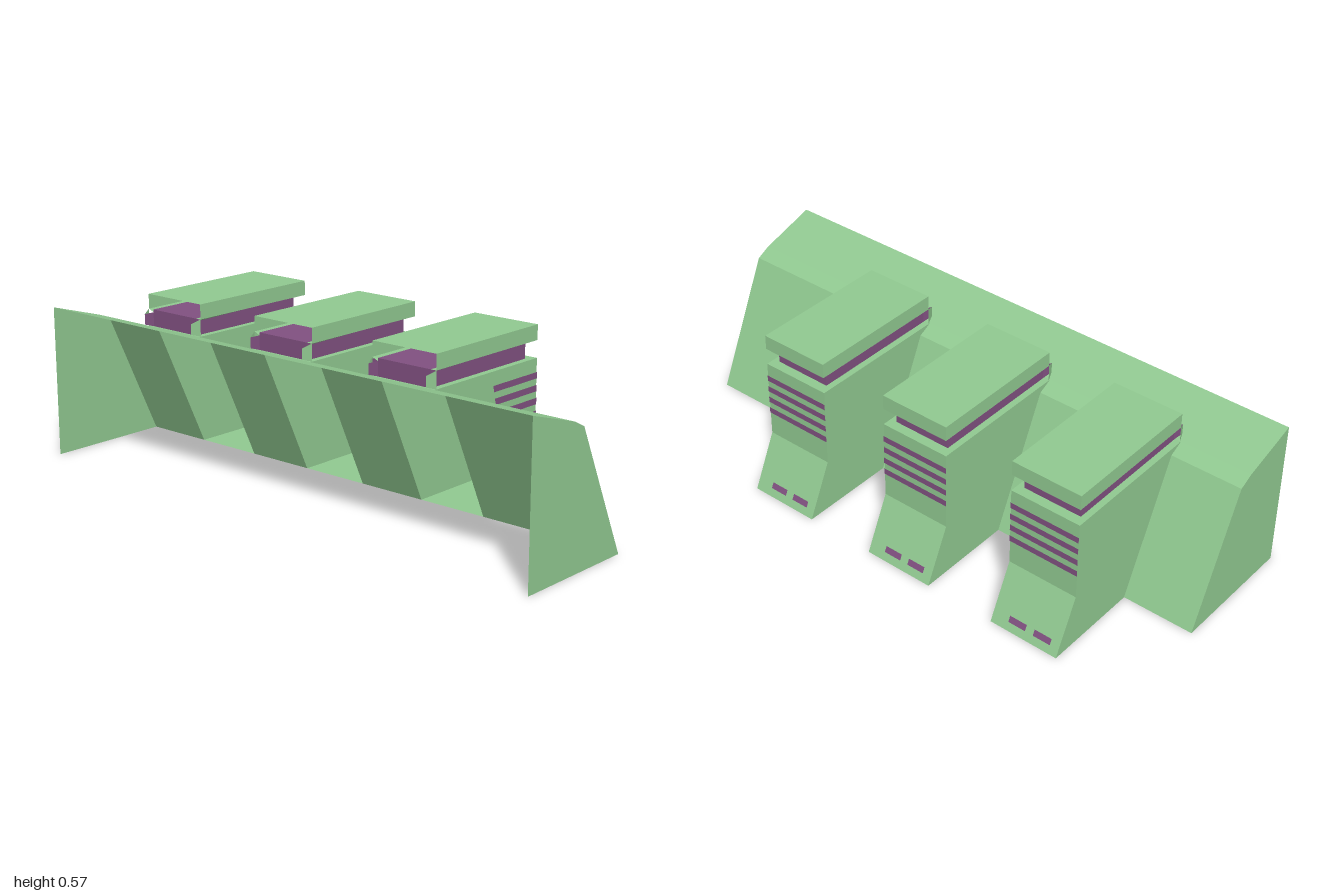
import * as THREE from 'three';

const green = new THREE.MeshStandardMaterial({ color: 0x90c890, flatShading: true, side: THREE.DoubleSide });
const purple = new THREE.MeshStandardMaterial({ color: 0x805080, flatShading: true, side: THREE.DoubleSide });

function add(group, name, geometry, material) {
  const mesh = new THREE.Mesh(geometry, material);
  mesh.name = name;
  group.add(mesh);
  return mesh;
}

// Convex polygons given as corner lists, fanned into triangles
function polygons(...faces) {
  const pos = [];
  for (const f of faces)
    for (let i = 1; i < f.length - 1; i++) pos.push(...f[0], ...f[i], ...f[i + 1]);
  const g = new THREE.BufferGeometry();
  g.setAttribute('position', new THREE.Float32BufferAttribute(pos, 3));
  g.computeVertexNormals();
  return g;
}

// Open wall sweeping an x-y path from z0 to z1 (outside is left of the path)
function strip(path, z0, z1) {
  const faces = [];
  for (let i = 0; i < path.length - 1; i++) {
    const [a, b] = [path[i], path[i + 1]];
    faces.push([[...a, z0], [...a, z1], [...b, z1], [...b, z0]]);
  }
  return polygons(...faces);
}

// Flat x-y panel at depth z, facing +z or -z
function panel(outline, z, facing = 1) {
  const g = new THREE.ShapeGeometry(new THREE.Shape(outline.map(p => new THREE.Vector2(...p))));
  if (facing < 0) g.setIndex([...g.index.array].reverse());
  g.computeVertexNormals();
  return g.translate(0, 0, z);
}

const RIDGE = [-0.4, 0.522], KNEE = [-0.2, 0.462], EDGE = [-0.152, 0.438], TOE = [0.05, 0];
const FRONT = 0.313, DEPTH = 0.25;
const TOWERS = [-0.75, -0.25, 0.25];

function createBank() {
  const bank = new THREE.Group();
  bank.name = 'bank';
  add(bank, 'bankTop', strip([RIDGE, KNEE, EDGE], -1, 1), green);
  // Sloped face, left open where the towers join
  let z = -1;
  for (const t of [...TOWERS, 1]) {
    add(bank, 'bankSlope', strip([EDGE, TOE], z, t), green);
    z = t + DEPTH;
  }
  for (const s of [-1, 1])
    add(bank, 'bankEnd', panel([[-0.4, 0], RIDGE, KNEE, EDGE, TOE], s, s), green);
  return bank;
}

function createTower() {
  const tower = new THREE.Group();
  tower.name = 'tower';

  // Hollow body with a kicked-out foot
  const body = [KNEE, [FRONT, 0.462], [FRONT, 0.185], [0.4, 0], TOE];
  add(tower, 'towerShell', strip(body, 0, DEPTH), green);
  for (const s of [-1, 1])
    add(tower, 'towerSide', panel([...body, EDGE], s > 0 ? DEPTH : 0, s), green);

  // Recessed neck
  const inset = 0.022, neckBack = -0.193, neckFront = 0.279, top = 0.52;
  const neck = new THREE.BoxGeometry(neckFront - neckBack, top - 0.462, DEPTH - 2 * inset);
  add(tower, 'neck', neck, purple).position.set((neckFront + neckBack) / 2, (top + 0.462) / 2, DEPTH / 2);

  // Overhanging cap, open at the back
  const roofY = 0.571;
  add(tower, 'capShell', strip([[neckBack, roofY], [FRONT, roofY], [FRONT, top], [neckFront, top]], 0, DEPTH), green);
  for (const s of [-1, 1]) {
    const out = s > 0 ? DEPTH : 0;
    const inn = out - s * inset;
    add(tower, 'capSide', panel([[neckBack, top], [FRONT, top], [FRONT, roofY], [neckBack, roofY]], out, s), green);
    add(tower, 'capLedge', strip([[neckFront, top], [neckBack, top]], Math.min(out, inn), Math.max(out, inn)), green);

    // Drooping gusset below the ledge and small flap behind it
    add(tower, 'gusset', polygons([[0.01, top, out], [neckBack, top, out], [neckBack, 0.51, inn]]), green);
    const tip = out - s * 0.013, tx = -0.225;
    add(tower, 'flapOuter', polygons([[neckBack, 0.462, out], [neckBack, top, out], [tx, 0.508, tip], [tx, 0.472, tip]]), green);
    add(tower, 'flapInner', polygons([[neckBack, 0.462, inn], [neckBack, 0.51, inn], [tx, 0.508, tip], [tx, 0.472, tip]]), purple);
  }

  // Stripes wrapping one side and the front
  const lift = 0.0012, sideZ = DEPTH + lift, frontX = FRONT + lift;
  for (let i = 0; i < 4; i++) {
    const y1 = 0.416 - i * 0.0425, y0 = y1 - 0.021, x = 0.086 + i * 0.0097;
    add(tower, 'sideStripe', panel([[x + 0.004, y0], [frontX, y0], [frontX, y1], [x, y1]], sideZ), purple);
    add(tower, 'frontStripe', strip([[frontX, y1], [frontX, y0]], 0, sideZ), purple);
  }

  // Short marks on the side
  add(tower, 'sideMark', panel([[0.135, 0.205], [0.18, 0.205], [0.176, 0.226], [0.13, 0.226]], sideZ), purple);
  add(tower, 'sideMark', panel([[0.202, 0.205], [0.268, 0.205], [0.268, 0.226], [0.199, 0.226]], sideZ), purple);

  // Short marks on the foot
  const footX = y => 0.4 - 0.087 * y / 0.185 + 0.0015;
  for (const [z0, z1] of [[0.032, 0.096], [0.126, 0.19]])
    add(tower, 'footMark', strip([[footX(0.045), 0.045], [footX(0.026), 0.026]], z0, z1), purple);
  return tower;
}

export function createModel() {
  const model = new THREE.Group();
  model.name = 'buttressedBank';
  model.add(createBank());
  for (const z of TOWERS) {
    const tower = createTower();
    tower.position.z = z;
    model.add(tower);
  }
  return model;
}
